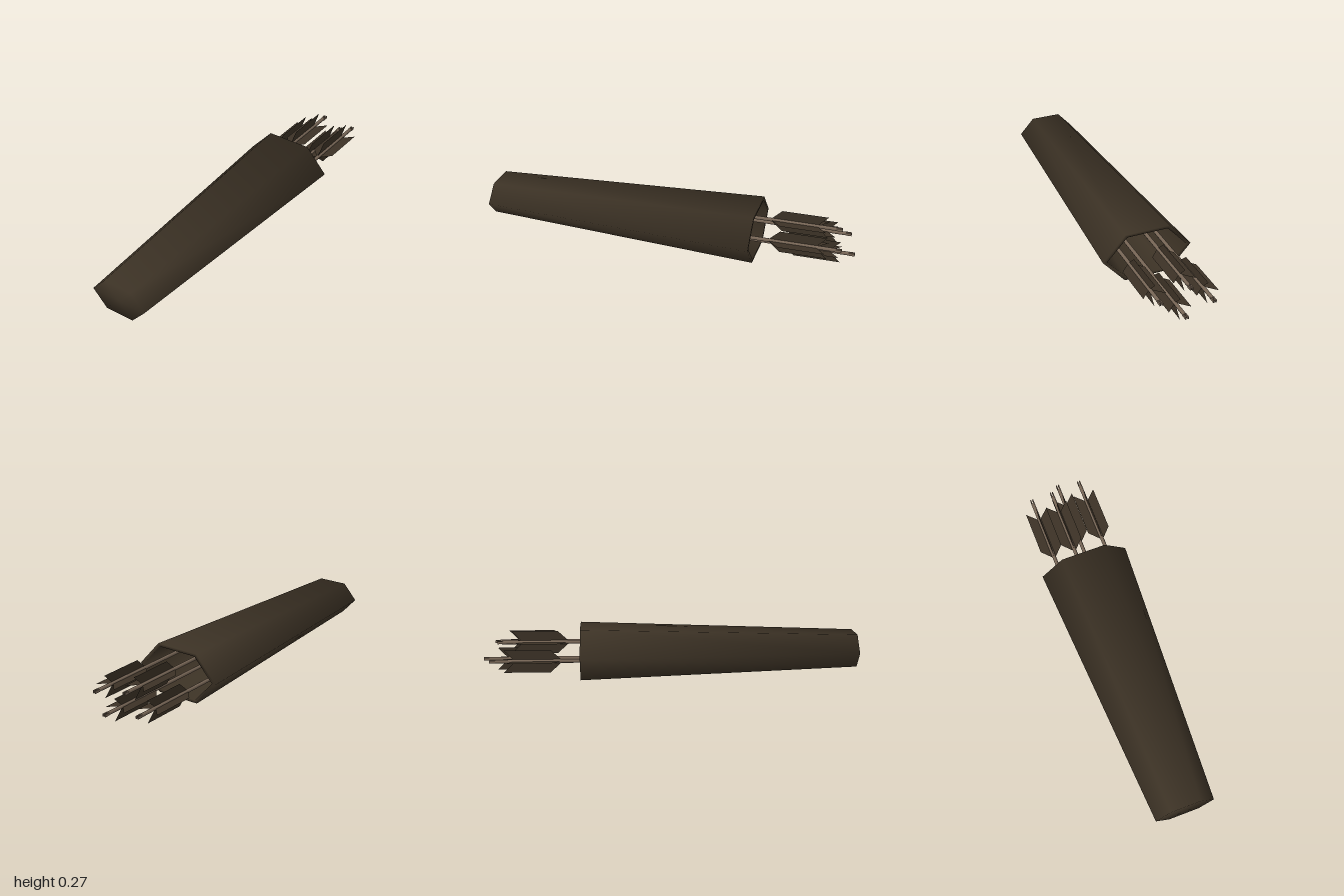
import * as THREE from 'three';

const leather = new THREE.MeshStandardMaterial({ color: 0x3c3225 });
leather.name = 'dark leather';
const feather = new THREE.MeshStandardMaterial({ color: 0x3c3226, side: THREE.DoubleSide });
feather.name = 'brown feather';
const wood = new THREE.MeshStandardMaterial({ color: 0x766555 });
wood.name = 'shaft wood';

const MID_Y = 0.136;

// Hollow tapered hexagonal case, smooth shaded, open at the back
function caseGeometry() {
  // z, half width, half height, outward part and z part of the normal
  const rings = [
    [1, 0, 0, 0, 1],
    [1, 0.16, 0.087, 1, 0.7],
    [-0.48, 0.243, 0.135, 1, -0.7],
    [-0.48, 0.22, 0.12, -1, -0.7],
    [0.95, 0.145, 0.075, -1, -0.7],
    [0.95, 0, 0, 0, -1],
  ];
  const hex = [[1, 0], [0.505, 1], [-0.505, 1], [-1, 0], [-0.505, -1], [0.505, -1]];
  const position = [], normal = [], index = [];
  for (const [z, w, h, out, nz] of rings) {
    hex.forEach(([x, y], j) => {
      position.push(x * w, MID_Y + y * h, z);
      const a = (j * Math.PI) / 3;
      const n = new THREE.Vector3(Math.cos(a) * out, Math.sin(a) * out, nz).normalize();
      normal.push(n.x, n.y, n.z);
    });
  }
  for (let i = 0; i < rings.length - 1; i++) {
    for (let j = 0; j < 6; j++) {
      const a = i * 6 + j, b = i * 6 + ((j + 1) % 6), c = a + 6, d = b + 6;
      if (i > 0) index.push(a, c, b);
      if (i < rings.length - 2) index.push(b, c, d);
      else index.push();
    }
  }
  const g = new THREE.BufferGeometry();
  g.setAttribute('position', new THREE.Float32BufferAttribute(position, 3));
  g.setAttribute('normal', new THREE.Float32BufferAttribute(normal, 3));
  g.setIndex(index);
  return g;
}

// Arrow with its tail end at the local origin, running toward +z
function makeArrow(x, y, tailZ) {
  const arrow = new THREE.Group();
  arrow.name = 'arrow';
  const length = 0.4 - tailZ - 0.025;
  const shaft = new THREE.Mesh(new THREE.CylinderGeometry(0.01, 0.01, length, 8), wood);
  shaft.name = 'shaft';
  shaft.rotation.x = Math.PI / 2;
  shaft.position.z = 0.025 + length / 2;
  arrow.add(shaft);

  // Forked nock
  for (const s of [-1, 1]) {
    const prong = new THREE.Mesh(new THREE.BoxGeometry(0.006, 0.014, 0.03), wood);
    prong.name = 'nockProng';
    prong.position.set(s * 0.006, 0, 0.015);
    arrow.add(prong);
  }

  // Four slanted feather vanes
  const outline = new THREE.Shape([
    new THREE.Vector2(0, 0.135), new THREE.Vector2(0.06, 0.075),
    new THREE.Vector2(0.06, 0.32), new THREE.Vector2(0, 0.385),
  ]);
  const vaneGeometry = new THREE.ShapeGeometry(outline).rotateX(Math.PI / 2);
  for (let i = 0; i < 4; i++) {
    const vane = new THREE.Mesh(vaneGeometry, feather);
    vane.name = 'vane';
    vane.rotation.z = (i * Math.PI) / 2;
    arrow.add(vane);
  }
  arrow.position.set(x, y, tailZ);
  return arrow;
}

export function createModel() {
  const model = new THREE.Group();
  model.name = 'quiver';
  const body = new THREE.Mesh(caseGeometry(), leather);
  body.name = 'quiverCase';
  model.add(body);

  const arrows = [
    [-0.14, 0.11, -0.955],
    [-0.03, 0.19, -0.92],
    [0.03, 0.09, -1],
    [0.14, 0.163, -0.945],
  ];
  for (const [x, y, z] of arrows) model.add(makeArrow(x, y, z));
  return model;
}
